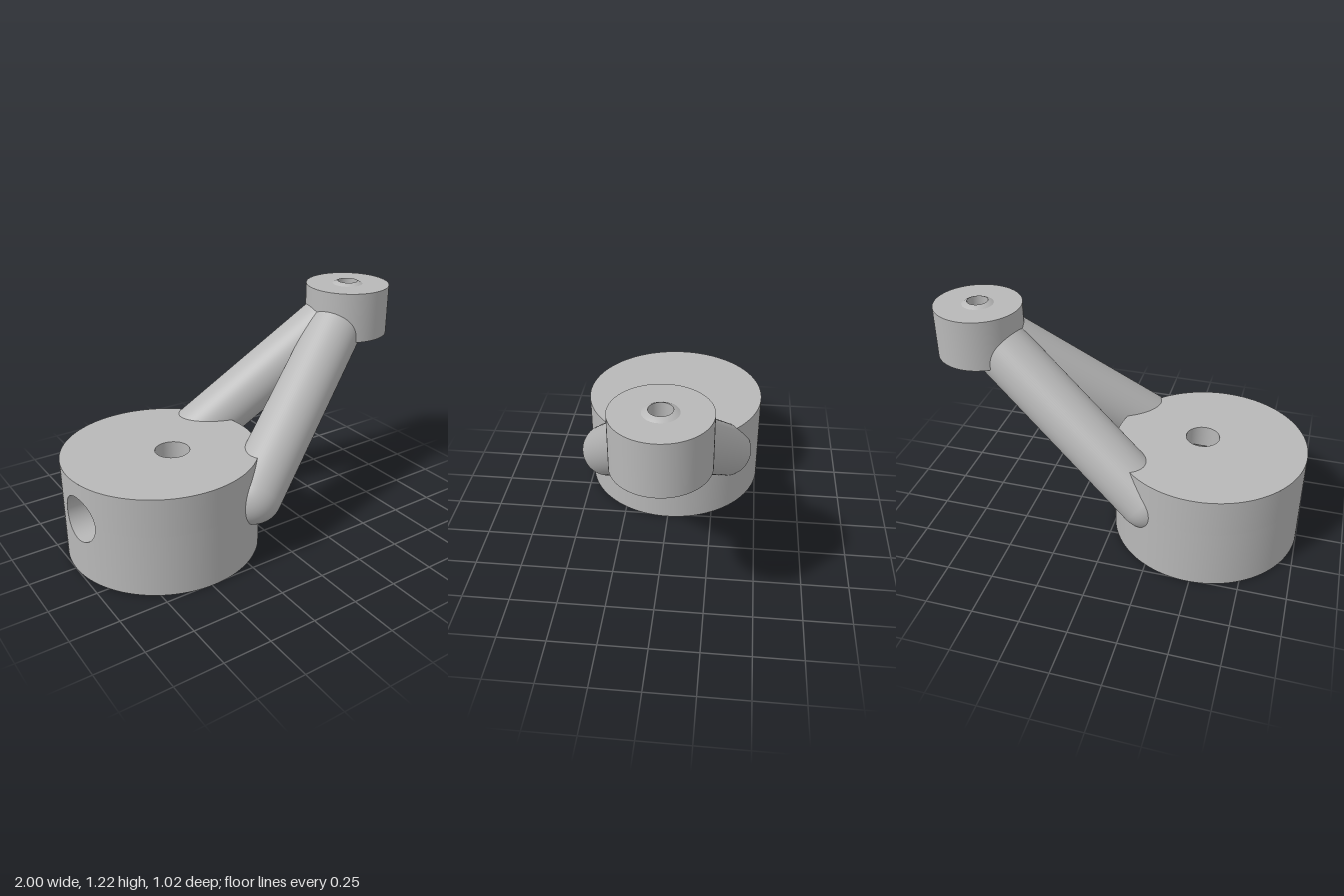
import * as THREE from 'three';
import { mergeVertices } from 'three/addons/utils/BufferGeometryUtils.js';

const grey = new THREE.MeshStandardMaterial({ color: 0xb8b8b8, side: THREE.DoubleSide });
grey.name = 'plain grey';

const TAU = Math.PI * 2;
const root = v => Math.sqrt(Math.max(0, v));

// Smooth surface from a function of column i and row j
function grid(cols, rows, f) {
  const pos = [], index = [];
  for (let j = 0; j <= rows; j++) for (let i = 0; i <= cols; i++) pos.push(...f(i, j));
  for (let j = 0; j < rows; j++) for (let i = 0; i < cols; i++) {
    const a = j * (cols + 1) + i, b = a + 1, c = a + cols + 1, d = c + 1;
    index.push(a, b, d, a, d, c);
  }
  let g = new THREE.BufferGeometry();
  g.setAttribute('position', new THREE.Float32BufferAttribute(pos, 3));
  g.setIndex(index);
  g = mergeVertices(g, 1e-5);
  g.computeVertexNormals();
  return g;
}

function add(group, name, geometry) {
  const m = new THREE.Mesh(geometry, grey);
  m.name = name;
  group.add(m);
  return m;
}

// Flat disc centred on (cx, cz) with a round hole at the local origin
function plate(R, r, cx, cz, y, up) {
  const s = up ? -1 : 1;
  const shape = new THREE.Shape().absarc(cx, s * cz, R, 0, TAU);
  shape.holes.push(new THREE.Path().absarc(0, 0, r, 0, TAU, true));
  return new THREE.ShapeGeometry(shape, 96).rotateX(s * Math.PI / 2).translate(0, y, 0);
}

// Drum with an upright hole crossed by a level bore; the origin is where they cross
function makeBase() {
  const R = 0.51, H = 0.535, cx = -0.047, cz = -0.0435;
  const hole = 0.09, bore = 0.122, by = 0.33;
  const base = new THREE.Group();
  base.name = 'base';
  base.position.set(-0.44, 0, 0.04);
  base.rotation.y = 0.07;

  // wall angles, denser where the bore breaks through
  const angles = [];
  for (let i = 0; i <= 128; i++) angles.push(i / 128 * TAU);
  for (let k = 0; k <= 32; k++) {
    const p = Math.asin((cz - bore * Math.cos(k / 32 * Math.PI)) / R);
    angles.push((p + TAU) % TAU, Math.PI - p);
  }
  angles.sort((a, b) => a - b);
  const wall = (a, y) => [cx + R * Math.cos(a), y, cz - R * Math.sin(a)];
  const half = a => root(bore ** 2 - (cz - R * Math.sin(a)) ** 2);
  add(base, 'baseWallLower', grid(angles.length - 1, 1, (i, j) =>
    wall(angles[i], j ? by - half(angles[i]) : 0)));
  add(base, 'baseWallUpper', grid(angles.length - 1, 1, (i, j) =>
    wall(angles[i], j ? H : by + half(angles[i]))));
  add(base, 'baseTop', plate(R, hole, cx, cz, H, true));
  add(base, 'baseBottom', plate(R, hole, cx, cz, 0, false));

  // upright hole, interrupted by the bore
  const N = 96;
  for (const upper of [false, true]) {
    add(base, upper ? 'uprightHoleUpper' : 'uprightHoleLower', grid(N, 1, (i, j) => {
      const a = i / N * TAU, z = hole * Math.sin(a), h = root(bore ** 2 - z * z);
      const y = upper ? (j ? H : by + h) : (j ? by - h : 0);
      return [hole * Math.cos(a), y, z];
    }));
  }
  // level bore, interrupted by the upright hole
  for (const side of [-1, 1]) {
    add(base, side > 0 ? 'boreInner' : 'boreOuter', grid(N, 1, (i, j) => {
      const a = i / N * TAU, z = bore * Math.cos(a);
      const outer = cx + side * root(R * R - (z - cz) ** 2);
      const inner = side * root(hole ** 2 - z * z);
      return [(side > 0) === (j === 1) ? outer : inner, by + bore * Math.sin(a), z];
    }));
  }
  return base;
}

const HEAD = new THREE.Vector3(0.767, 1.083, -0.043);
const ARM_R = 0.152, PIN = 0.055, FLOOR = 0.88;

// Round-ended arm rising to the head, trimmed where the pin hole passes through
function makeArm(name, start) {
  const d = HEAD.clone().sub(start), full = d.length();
  const reach = Math.hypot(d.x, d.z);
  d.normalize();
  const s = d.clone().cross(new THREE.Vector3(0, 1, 0)).normalize();
  const n = s.clone().cross(d);
  const c = Math.hypot(d.x, d.z), CAP = 14, N = 96;
  const end = a => {
    const q = ARM_R * Math.cos(a), v = ARM_R * Math.sin(a);
    if (Math.abs(q) >= PIN) return full;
    let L = (reach - root(PIN * PIN - q * q) + v * d.y) / c;
    const y = start.y + L * d.y + v * c;
    if (y < FLOOR) L += (FLOOR - y) / d.y;
    return Math.min(L, full);
  };
  const geometry = grid(N, CAP + 1, (i, j) => {
    const a = i / N * TAU, lat = Math.min(j, CAP) / CAP * Math.PI / 2;
    const rad = ARM_R * Math.sin(lat);
    const along = j > CAP ? end(a) : -ARM_R * Math.cos(lat);
    return start.clone().addScaledVector(d, along)
      .addScaledVector(s, rad * Math.cos(a))
      .addScaledVector(n, rad * Math.sin(a)).toArray();
  });
  const m = new THREE.Mesh(geometry, grey);
  m.name = name;
  return m;
}

// Small drum with a pin hole and a low domed rim
function makeHead() {
  const R = 0.232, low = 0.935, top = 1.21, N = 64;
  const head = new THREE.Group();
  head.name = 'head';
  head.position.set(HEAD.x, 0, HEAD.z);
  add(head, 'headWall', new THREE.CylinderGeometry(R, R, top - low, 96, 1, true)
    .translate(0, (top + low) / 2, 0));
  add(head, 'headTop', plate(R, PIN, 0, 0, top, true));
  add(head, 'headBottom', plate(R, PIN, 0, 0, low, false));

  const dome = r => HEAD.y + root(ARM_R ** 2 - r * r);
  add(head, 'domedRim', grid(N, 4, (i, j) => {
    const a = i / N * TAU, r = 0.084 + (PIN - 0.084) * j / 4;
    return [r * Math.cos(a), dome(r), -r * Math.sin(a)];
  }));
  add(head, 'pinHole', grid(N, 1, (i, j) => {
    const a = i / N * TAU, x = PIN * Math.cos(a);
    const bottom = THREE.MathUtils.clamp(0.89 + 0.78 * x, FLOOR, low);
    return [x, j ? dome(PIN) : bottom, PIN * Math.sin(a)];
  }));
  // half floor left where the pin hole stops inside the arms
  add(head, 'pinHoleFloor', new THREE.CircleGeometry(PIN, 32, Math.PI / 2, Math.PI)
    .rotateX(-Math.PI / 2).translate(0, FLOOR, 0));
  return head;
}

export function createModel() {
  const model = new THREE.Group();
  model.name = 'bracket';
  model.add(
    makeBase(),
    makeArm('frontArm', new THREE.Vector3(-0.155, 0.33, 0.36)),
    makeArm('backArm', new THREE.Vector3(-0.22, 0.33, -0.312)),
    makeHead()
  );
  return model;
}
